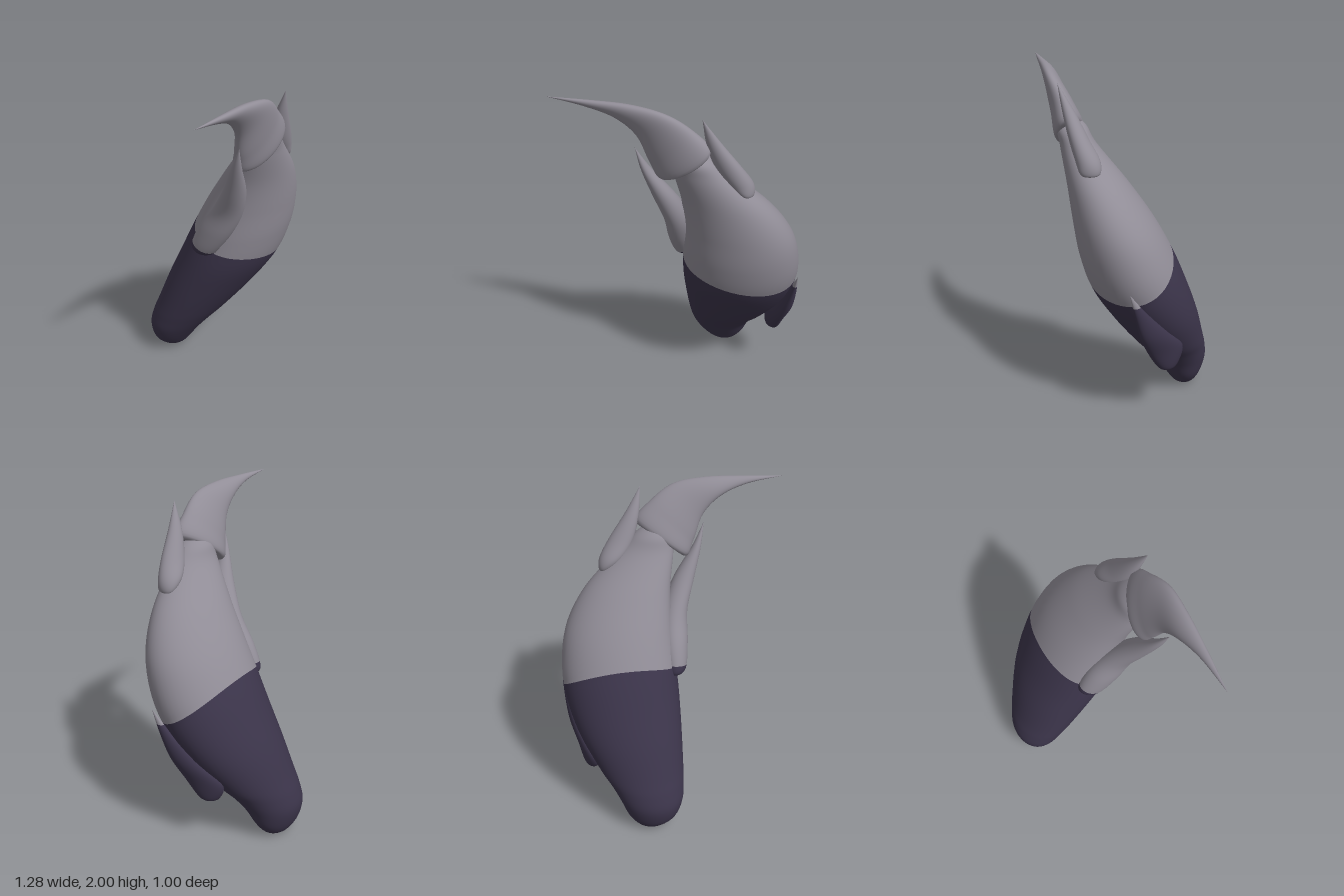
import * as THREE from 'three';

const grey = new THREE.MeshStandardMaterial({ color: 0x918d97 });
grey.name = 'grey';
const darkViolet = new THREE.MeshStandardMaterial({ color: 0x3c354b });
darkViolet.name = 'dark violet';

// Smooth loft through elliptical sections, listed from base to tip as
// [centre, side axis, depth axis]. from(angle) and to(angle) give the
// range, counted in sections.
function loft(name, material, sections, from = () => 0, to = () => sections.length - 1, rows = 40, sides = 48) {
  const [centre, side, depth] = [0, 1, 2].map((k) => new THREE.CatmullRomCurve3(
    sections.map((s) => new THREE.Vector3(...s[k])), false, 'catmullrom', 0.5));
  const positions = [], index = [];
  for (let i = 0; i <= rows; i++) {
    for (let j = 0; j < sides; j++) {
      const a = (j / sides) * Math.PI * 2;
      const t = THREE.MathUtils.lerp(from(a), to(a), i / rows) / (sections.length - 1);
      const p = centre.getPoint(t)
        .addScaledVector(side.getPoint(t), Math.cos(a))
        .addScaledVector(depth.getPoint(t), Math.sin(a));
      positions.push(p.x, p.y, p.z);
      if (i < rows) {
        const k = i * sides + j, n = i * sides + (j + 1) % sides;
        index.push(k, k + sides, n, n, k + sides, n + sides);
      }
    }
  }
  const geometry = new THREE.BufferGeometry();
  geometry.setAttribute('position', new THREE.Float32BufferAttribute(positions, 3));
  geometry.setIndex(index);
  geometry.computeVertexNormals();
  const mesh = new THREE.Mesh(geometry, material);
  mesh.name = name;
  return mesh;
}

// One loft in two colours, split at a section position
function twoTone(name, sections, split, rows) {
  const group = new THREE.Group();
  group.name = name;
  group.add(
    loft(name + 'Lower', darkViolet, sections, undefined, split, rows),
    loft(name + 'Upper', grey, sections, split, undefined, rows));
  return group;
}

// Body outline: height, left and right x, back and front z
const bodySections = [
  [0, 0.05, 0.05, -0.36, -0.36],
  [0.008, -0.01, 0.11, -0.41, -0.315],
  [0.035, -0.06, 0.15, -0.445, -0.28],
  [0.1, -0.12, 0.197, -0.478, -0.235],
  [0.2, -0.153, 0.243, -0.499, -0.165],
  [0.3, -0.153, 0.308, -0.485, -0.09],
  [0.4, -0.145, 0.39, -0.457, -0.015],
  [0.6, -0.125, 0.52, -0.4, 0.12],
  [0.8, -0.1, 0.6, -0.325, 0.235],
  [1.0, -0.07, 0.622, -0.24, 0.298],
  [1.2, -0.04, 0.59, -0.132, 0.33],
  [1.4, -0.025, 0.478, 0.01, 0.355],
  [1.6, -0.035, 0.28, 0.178, 0.385],
  [1.7, -0.02, 0.185, 0.235, 0.395],
  [1.77, 0.06, 0.06, 0.32, 0.32],
].map(([y, l, r, b, f]) => [
  [(l + r) / 2, y, (b + f) / 2], [(r - l) / 2, 0, 0], [0, 0, (f - b) / 2]]);

// Wavy colour border around the body, as a section position
const border = (a) => 8 +
  (0.115 - 0.065 * Math.cos(a) - 0.1 * Math.sin(a) - 0.025 * Math.cos(2 * a)) / 0.2;

// Spikes with level sections: centre x, y, z, half width, half depth, slant
const level = (list) => list.map(([x, y, z, w, d, slant = 0]) => [
  [x, y, z], [w, 0, 0], [slant, 0, d]]);

export function createModel() {
  const model = new THREE.Group();
  model.name = 'curvedHorn';

  model.add(twoTone('body', bodySections, border, 48));

  // Swept horn at the top
  model.add(loft('topHorn', grey, [
    [[0.05, 1.67, 0.325], [0, 0, 0], [0, 0, 0]],
    [[0.05, 1.655, 0.325], [0.148, 0.1, 0.015], [0.025, -0.025, 0.08]],
    [[-0.02, 1.76, 0.355], [0.13, 0.11, 0.02], [0.01, -0.015, 0.07]],
    [[-0.11, 1.88, 0.395], [0.09, 0.08, 0.025], [0, 0, 0.053]],
    [[-0.25, 1.948, 0.427], [0.05, 0.047, 0.017], [0, 0, 0.04]],
    [[-0.425, 1.98, 0.463], [0.02, 0.02, 0.005], [0, 0, 0.021]],
    [[-0.645, 1.998, 0.497], [0, 0, 0], [0, 0, 0]],
  ]));

  // Short spike beside the horn
  model.add(loft('upperSpike', grey, level([
    [0.375, 1.48, 0.235, 0, 0],
    [0.37, 1.495, 0.235, 0.036, 0.052],
    [0.33, 1.56, 0.245, 0.07, 0.067],
    [0.275, 1.66, 0.285, 0.073, 0.055],
    [0.215, 1.8, 0.335, 0.042, 0.034],
    [0.17, 1.95, 0.39, 0, 0],
  ])));

  // Long spike on the right side with a dark foot
  model.add(twoTone('rightSpike', level([
    [-0.07, 0.912, 0.02, 0, 0],
    [-0.07, 0.922, 0.02, 0.05, 0.06],
    [-0.075, 0.97, 0.035, 0.066, 0.093],
    [-0.06, 1.1, 0.105, 0.08, 0.11],
    [-0.053, 1.25, 0.19, 0.076, 0.095],
    [-0.096, 1.42, 0.275, 0.064, 0.066],
    [-0.167, 1.6, 0.347, 0.027, 0.032],
    [-0.205, 1.74, 0.395, 0, 0],
  ]), (a) => 1.95 - 0.3 * Math.sin(a), 24));

  // Low spike hugging the left side, with a light tip
  model.add(twoTone('leftSpike', level([
    [0.445, 0.32, -0.195, 0, 0],
    [0.438, 0.34, -0.195, 0.045, 0.058, 0.02],
    [0.463, 0.46, -0.175, 0.057, 0.107, 0.045],
    [0.538, 0.6, -0.095, 0.048, 0.082, 0.03],
    [0.601, 0.76, -0.01, 0.023, 0.035, 0.01],
    [0.64, 0.9, 0.055, 0, 0],
  ]), () => 4.35, 24));

  return model;
}
